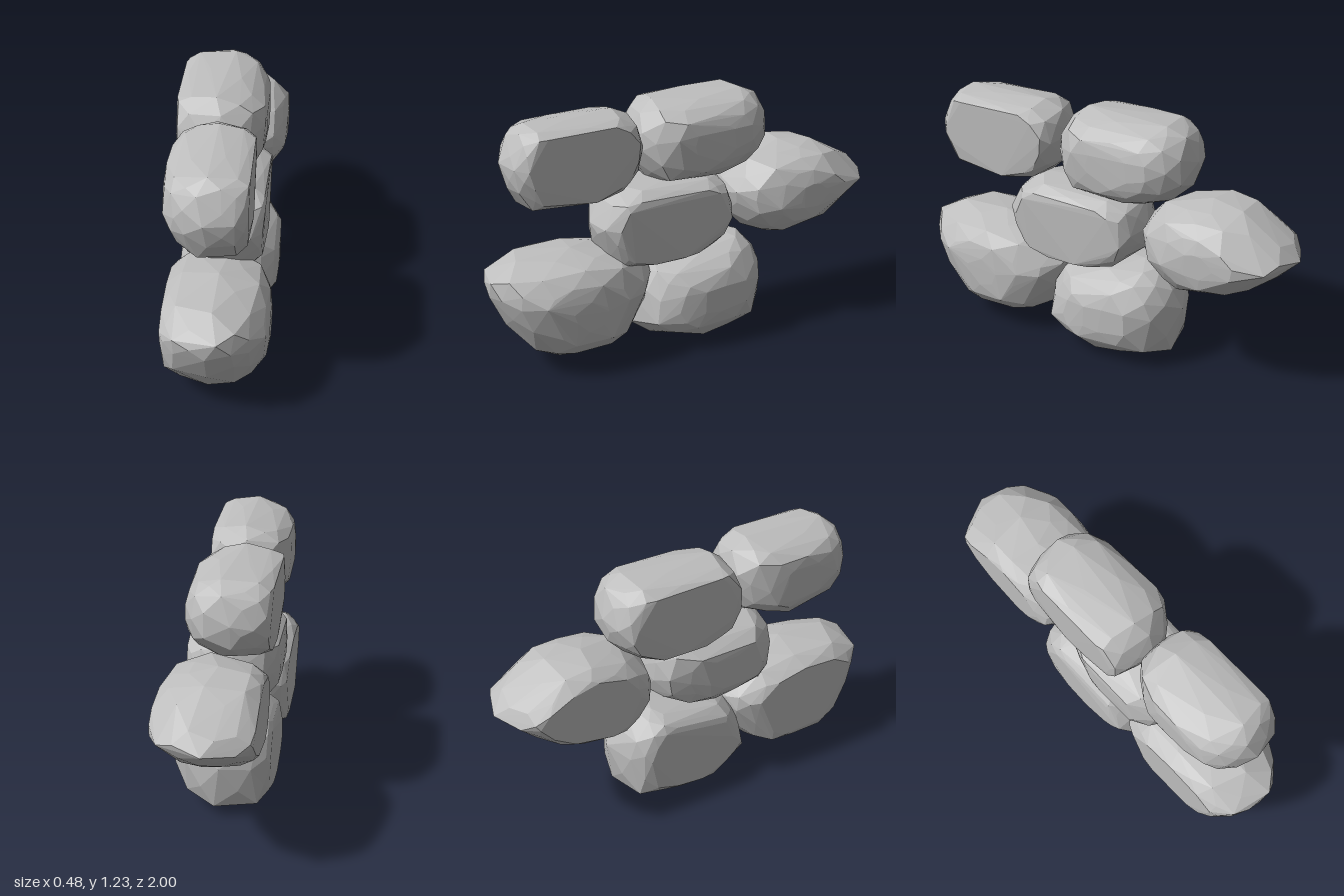
import * as THREE from 'three';
import { ConvexGeometry } from 'three/addons/geometries/ConvexGeometry.js';

// Side outlines as [z, y] loops within -1..1
const BARREL = [
  [1, 0.15], [0.85, 0.7], [0.65, 0.97], [-0.62, 1], [-0.88, 0.8],
  [-1, 0.2], [-0.94, -0.38], [-0.7, -0.75], [-0.22, -1], [0.75, -0.87], [0.91, -0.43]];
const POINTED = [
  [1, 0.02], [0.95, 0.33], [0.7, 0.8], [0.15, 1], [-0.28, 0.95], [-0.8, 0.47],
  [-1, 0.1], [-0.75, -0.33], [-0.36, -0.78], [0.41, -1], [0.7, -0.82], [0.92, -0.42]];
const BOWL = [
  [1, 0.65], [0.66, 0.93], [0, 1], [-0.6, 0.85], [-0.97, 0.42], [-1, 0.15],
  [-0.73, -0.7], [-0.43, -0.97], [0.14, -1], [0.48, -0.9], [0.8, -0.3], [0.98, 0.3]];
const BLOCK = [
  [1, -0.49], [0.95, 0.05], [0.8, 0.5], [0.64, 0.72], [-0.39, 1], [-0.67, 0.96], [-0.89, 0.6],
  [-1, 0.18], [-0.89, -0.73], [-0.39, -0.88], [0.1, -1], [0.72, -0.76]];

// Centre and half size in z and y; "flat" is the x of the flat face, "round" that of the bulging one
const STONES = [
  { name: 'topFrontStone', outline: BARREL, z: 0.57, y: 1.01, length: 0.34, height: 0.21, flat: 0.15, round: -0.23, square: 0.4 },
  { name: 'topBackStone', outline: BARREL, z: -0.095, y: 1.02, length: 0.355, height: 0.21, flat: -0.24, round: 0.17, square: 0.4 },
  { name: 'middleFrontStone', outline: BARREL, z: 0.13, y: 0.655, length: 0.36, height: 0.205, flat: 0.19, round: -0.24, square: 0.4 },
  { name: 'middleBackStone', outline: POINTED, z: -0.61, y: 0.695, length: 0.39, height: 0.225, flat: -0.24, round: 0.24, square: 0.15 },
  { name: 'bottomFrontStone', outline: BOWL, z: 0.595, y: 0.32, length: 0.405, height: 0.26, flat: -0.24, round: 0.24, square: 0.15 },
  { name: 'bottomBackStone', outline: BLOCK, z: -0.06, y: 0.255, length: 0.36, height: 0.255, flat: -0.24, round: 0.24, square: 0.15 },
];

const RING_COUNT = 8;

function seeded(seed) {
  return () => {
    seed = (seed * 16807) % 2147483647;
    return seed / 2147483647 - 0.5;
  };
}

// A chipped stone: the hull of slightly uneven rings scaled from its outline
function stoneGeometry(spec, seed) {
  const { outline, square } = spec;
  const { lerp, clamp } = THREE.MathUtils;
  const noise = seeded(seed);
  const n = outline.length;
  const points = [];
  for (let ring = 0; ring <= RING_COUNT; ring++) {
    const angle = Math.PI * ring / RING_COUNT;
    const widest = ring === RING_COUNT / 2;
    // the flat face stays broad, the round one closes in
    const flatHalf = ring < RING_COUNT / 2;
    const bulge = lerp(flatHalf ? 0.6 : 0.15, 1, Math.sin(angle));
    const scale = lerp(bulge, 1, flatHalf ? square : square * 0.5);
    for (let i = 0; i < n; i++) {
      // odd rings sit between the outline corners
      const slide = widest ? 0 : clamp(0.5 * (ring % 2) + noise() * 0.4, 0, 1);
      const swell = widest ? 1 : 1 + noise() * 0.06;
      const a = outline[i], b = outline[(i + 1) % n];
      const across = (1 - Math.cos(angle)) / 2 + noise() * (widest ? 0.16 : 0.06);
      points.push(new THREE.Vector3(
        lerp(spec.flat, spec.round, clamp(across, 0, 1)),
        spec.y + lerp(a[1], b[1], slide) * spec.height * Math.pow(scale, 0.8) * swell,
        spec.z + lerp(a[0], b[0], slide) * spec.length * scale * swell));
    }
  }
  return new ConvexGeometry(points);
}

export function createModel() {
  const group = new THREE.Group();
  group.name = 'stoneWall';
  const stone = new THREE.MeshStandardMaterial({ color: 0xbebebe, flatShading: true });
  stone.name = 'grey stone';
  STONES.forEach((spec, i) => {
    const mesh = new THREE.Mesh(stoneGeometry(spec, 4127 + i * 977), stone);
    mesh.name = spec.name;
    group.add(mesh);
  });
  return group;
}
